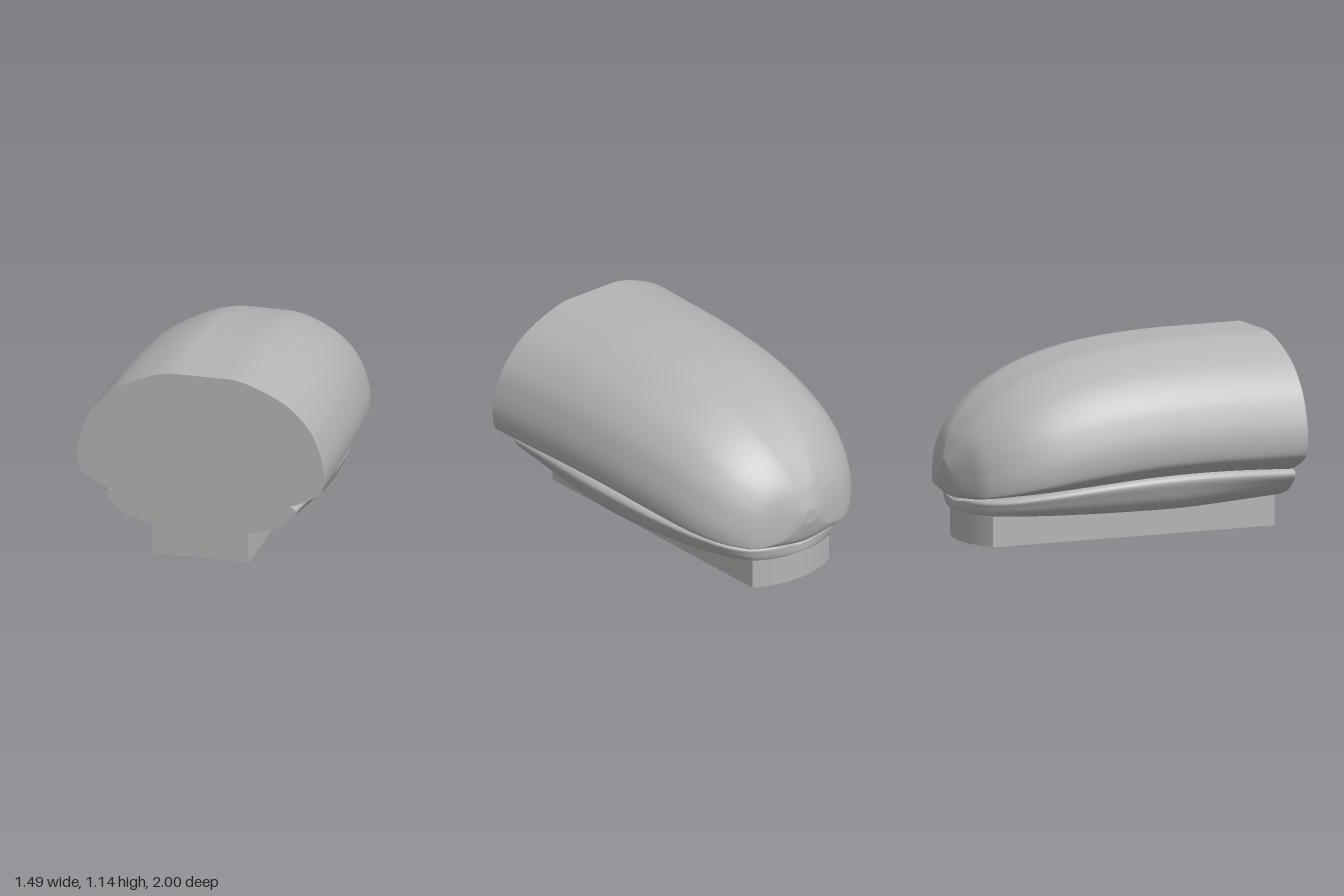
import * as THREE from 'three';

// Smooth look-up of [z, ...values] rows, listed with z ascending
function track(rows) {
  const n = rows[0].length - 1;
  const f = new THREE.CubicInterpolant(rows.map(r => r[0]), rows.flatMap(r => r.slice(1)), n);
  return z => Array.from(f.evaluate(z));
}

// Closed symmetric ring from a half outline running top centre -> +x -> bottom centre
function ring(half, steps) {
  const pts = new THREE.SplineCurve(half.map(p => new THREE.Vector2(...p))).getPoints(steps);
  const mirrored = pts.slice(1, -1).reverse().map(p => new THREE.Vector2(-p.x, p.y));
  return [...pts, ...mirrored];
}

// Loft rings from front to back, with flat end caps on their own vertices
function loft(zs, section, steps) {
  const pos = [], idx = [];
  const rings = zs.map(z => ring(section(z), steps));
  const n = rings[0].length;
  rings.forEach((r, i) => r.forEach(p => pos.push(p.x, p.y, zs[i])));
  for (let i = 0; i < zs.length - 1; i++) {
    for (let j = 0; j < n; j++) {
      const k = (j + 1) % n, a = i * n + j, b = i * n + k;
      idx.push(a, b, a + n, b, b + n, a + n);
    }
  }
  for (const i of [0, zs.length - 1]) {
    const base = pos.length / 3, r = rings[i];
    r.forEach(p => pos.push(p.x, p.y, zs[i]));
    pos.push(0, (r[0].y + r[steps].y) / 2, zs[i]);
    for (let j = 0; j < n; j++) {
      const a = base + j, b = base + (j + 1) % n;
      if (i === 0) idx.push(base + n, b, a);
      else idx.push(base + n, a, b);
    }
  }
  const g = new THREE.BufferGeometry();
  g.setAttribute('position', new THREE.Float32BufferAttribute(pos, 3));
  g.setIndex(idx);
  g.computeVertexNormals();
  return g;
}

// Stations that crowd together toward the rounded back end
function stations(back, count) {
  return Array.from({ length: count + 1 }, (_, i) => 1 - (1 - back) * Math.sin(i / count * Math.PI / 2));
}

export function createModel() {
  const group = new THREE.Group();
  const grey = new THREE.MeshStandardMaterial({ color: 0xb4b4b4 });
  grey.name = 'plain grey';
  const add = (name, geometry) => {
    const mesh = new THREE.Mesh(geometry, grey);
    mesh.name = name;
    group.add(mesh);
    return mesh;
  };

  // Domed body: z, half width, top, side crease height, bottom
  const body = track([
    [-1, 0.05, 0.49, 0.43, 0.4],
    [-0.97, 0.16, 0.565, 0.34, 0.3],
    [-0.95, 0.23, 0.61, 0.32, 0.27],
    [-0.92, 0.33, 0.66, 0.31, 0.265],
    [-0.85, 0.43, 0.75, 0.325, 0.26],
    [-0.75, 0.515, 0.842, 0.35, 0.26],
    [-0.6, 0.59, 0.94, 0.385, 0.26],
    [-0.4, 0.643, 1.025, 0.425, 0.26],
    [-0.2, 0.676, 1.077, 0.455, 0.26],
    [0, 0.7, 1.11, 0.48, 0.26],
    [0.4, 0.726, 1.138, 0.5, 0.26],
    [0.7, 0.737, 1.14, 0.5, 0.26],
    [1, 0.746, 1.14, 0.5, 0.26],
  ]);
  const upper = [[0, 1], [0.14, 1], [0.27, 0.995], [0.42, 0.95], [0.6, 0.86], [0.75, 0.745],
    [0.89, 0.56], [0.965, 0.36], [1, 0.17], [0.985, 0]];
  const lower = [[0.93, -0.2], [0.8, -0.42], [0.6, -0.65], [0.4, -0.83], [0.2, -0.96], [0, -1]];
  add('body', loft(stations(-1, 60), z => {
    const [w, top, crease, bottom] = body(z);
    return [
      ...upper.map(([x, y]) => [x * w, crease + y * (top - crease)]),
      ...lower.map(([x, y]) => [x * w, crease + y * (crease - bottom)]),
    ];
  }, 60));

  // Flared tray under the body: z, half width, half width of flat bottom, top, bottom
  const tray = track([
    [-0.93, 0.04, 0.02, 0.245, 0.2],
    [-0.92, 0.13, 0.08, 0.257, 0.19],
    [-0.9, 0.21, 0.15, 0.265, 0.185],
    [-0.86, 0.3, 0.25, 0.272, 0.185],
    [-0.8, 0.375, 0.31, 0.282, 0.185],
    [-0.6, 0.49, 0.4, 0.315, 0.185],
    [-0.3, 0.58, 0.465, 0.358, 0.185],
    [0, 0.627, 0.495, 0.388, 0.185],
    [0.3, 0.64, 0.49, 0.4, 0.185],
    [0.6, 0.622, 0.42, 0.395, 0.185],
    [1, 0.575, 0.3, 0.372, 0.185],
  ]);
  add('tray', loft(stations(-0.93, 48), z => {
    const [w, flat, top, base] = tray(z);
    const h = top - base, d = w - flat, k = Math.min(1, w / 0.3);
    const mid = Math.min(0.27, top);
    const lip = w - 0.08 * k;
    return [
      [0, mid], [lip * 0.5, (mid + top - 0.01) / 2], [lip, top - 0.01 * k], [w - 0.03 * k, top],
      [w, base + 0.85 * h], [w - 0.12 * d, base + 0.6 * h], [w - 0.42 * d, base + 0.25 * h],
      [flat, base], [flat * 0.6, base], [0, base],
    ];
  }, 54));

  // Keel block with a bowed back and two round sockets underneath
  const outline = new THREE.Shape();
  outline.moveTo(-0.29, -1);
  outline.lineTo(0.29, -1);
  outline.lineTo(0.29, 0.82);
  outline.quadraticCurveTo(0, 0.97, -0.29, 0.82);
  outline.closePath();
  for (const z of [0.72, 0.235]) {
    outline.holes.push(new THREE.Path().absarc(0, -z, 0.105, 0, Math.PI * 2, true));
  }
  const keel = new THREE.ExtrudeGeometry(outline, { depth: 0.186, bevelEnabled: false, curveSegments: 32 });
  keel.rotateX(-Math.PI / 2);
  add('keel', keel);

  return group;
}
